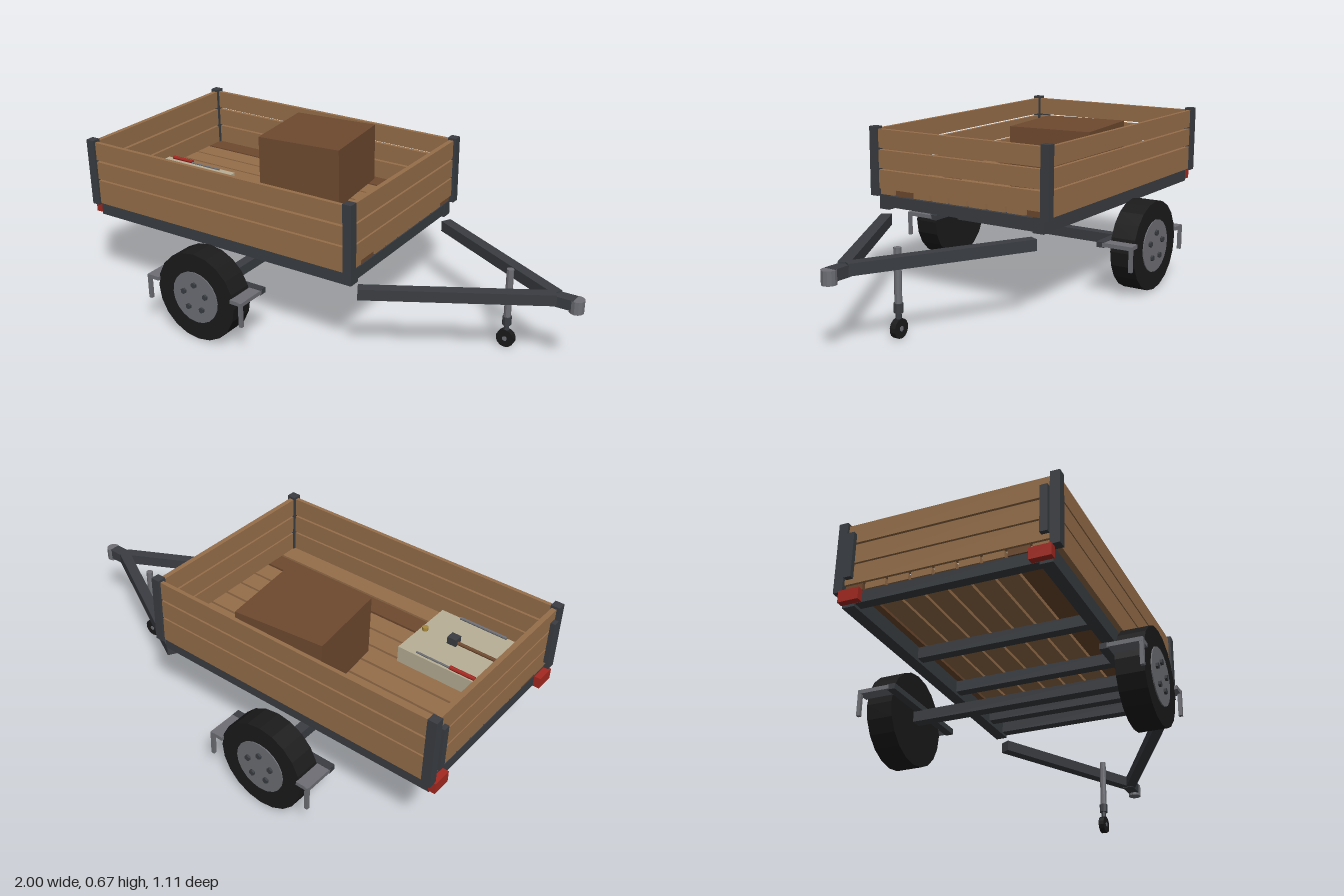
import * as THREE from 'three';

const material = (color) => new THREE.MeshStandardMaterial({ color, flatShading: true });
const M = {
  wood: material(0x976f4a), darkWood: material(0x6f4a2f), steel: material(0x3a3d42),
  grey: material(0x6e6f75), rubber: material(0x1b1b1b), red: material(0xa52820),
  carton: material(0x6f4a2f), cream: material(0xb8b096), brass: material(0xa8893c),
};

export function createModel() {
  const root = new THREE.Group();

  const add = (name, geometry, mat, x, y, z, parent = root) => {
    const mesh = new THREE.Mesh(geometry, mat);
    mesh.name = name;
    mesh.position.set(x, y, z);
    parent.add(mesh);
    return mesh;
  };
  // Box given by its [min, max] range on each axis
  const span = (name, mat, [x0, x1], [y0, y1], [z0, z1], parent = root) =>
    add(name, new THREE.BoxGeometry(x1 - x0, y1 - y0, z1 - z0), mat,
      (x0 + x1) / 2, (y0 + y1) / 2, (z0 + z1) / 2, parent);
  // Disc or rod whose axis lies along z
  const disc = (name, mat, r, width, sides, x, y, z, parent = root) =>
    add(name, new THREE.CylinderGeometry(r, r, width, sides).rotateX(Math.PI / 2), mat, x, y, z, parent);

  // Chassis: side rails and cross members
  for (const s of [-1, 1]) {
    const rail = add('sideRail', new THREE.BoxGeometry(1.225, 0.06, 0.047), M.steel, -0.36, 0.365, s * 0.364);
    rail.updateMatrix();
  }
  for (const x of [-0.95, -0.515, -0.205, 0.1, 0.23])
    add('crossMember', new THREE.BoxGeometry(0.04, 0.045, 0.68), M.steel, x, 0.368, 0);

  // Floor planks
  for (let i = 0; i < 9; i++)
    add('floorPlank', new THREE.BoxGeometry(1.22, 0.025, 0.0785),
      i === 0 || i === 7 ? M.darkWood : M.wood, -0.36, 0.4075, (i - 4) * 0.0885);

  // Wall planks on all four sides
  for (const [y0, y1] of [[0.42, 0.496], [0.503, 0.577], [0.585, 0.66]]) {
    for (const s of [-1, 1]) {
      const base = y0 === 0.42 ? 0.395 : y0;
      add('sidePlank', new THREE.BoxGeometry(1.2, y1 - base, 0.016), M.wood, -0.36, (base + y1) / 2, s * 0.4);
      add('endPlank', new THREE.BoxGeometry(0.02, y1 - y0, 0.785), M.wood,
        -0.36 + s * 0.61, (y0 + y1) / 2, 0);
    }
  }

  // Corner posts
  for (const x of [-0.973, 0.253])
    for (const s of [-1, 1])
      add('cornerPost', new THREE.BoxGeometry(0.036, 0.28, 0.036), M.steel, x, 0.53, s * 0.4);

  // Tailgate latches and tail lights
  for (const s of [-1, 1]) {
    add('tailgateLatch', new THREE.BoxGeometry(0.018, 0.18, 0.028), M.steel, -0.989, 0.53, s * 0.363);
    add('tailLight', new THREE.BoxGeometry(0.026, 0.045, 0.08), M.red, -0.985, 0.368, s * 0.352);
  }

  // Axle
  add('axle', new THREE.BoxGeometry(0.043, 0.043, 0.87), M.steel, -0.36, 0.188, 0);

  // Wheels and mudguard frames
  for (const s of [-1, 1]) {
    const wheel = new THREE.Group();
    wheel.name = 'wheel';
    wheel.position.set(-0.36, 0.184, s * 0.487);
    root.add(wheel);
    disc('tyre', M.rubber, 0.184, 0.104, 20, 0, 0, 0, wheel);
    disc('rim', M.grey, 0.108, 0.012, 20, 0, 0, s * 0.05, wheel);
    for (let i = 0; i < 5; i++) {
      const a = Math.PI * (0.1 + i * 0.4);
      disc('wheelNut', M.steel, 0.012, 0.012, 6, Math.cos(a) * 0.055, Math.sin(a) * 0.055, s * 0.059, wheel);
    }
    add('mudguardBar', new THREE.BoxGeometry(0.46, 0.022, 0.032), M.steel, -0.36, 0.219, s * 0.413);
    for (const e of [-1, 1]) {
      add('mudguardPlate', new THREE.BoxGeometry(0.055, 0.016, 0.127), M.grey, -0.36 + e * 0.203, 0.22, s * 0.487);
      add('mudguardLeg', new THREE.BoxGeometry(0.014, 0.103, 0.014), M.grey, -0.36 + e * 0.223, 0.176, s * 0.546);
    }
  }

  // A-frame drawbar
  const length = Math.hypot(0.635, 0.345);
  for (const s of [-1, 1]) {
    const bar = add('drawbar', new THREE.BoxGeometry(length, 0.044, 0.044), M.steel, 0.575, 0.297, s * 0.1775);
    bar.rotation.y = s * Math.atan2(0.345, 0.635);
  }

  // Coupling
  span('couplingBody', M.steel, [0.87, 0.965], [0.272, 0.314], [-0.024, 0.024]);
  add('couplingHead', new THREE.CylinderGeometry(0.028, 0.028, 0.052, 12), M.grey, 0.972, 0.287, 0);

  // Jockey wheel
  const jx = 0.683, jz = -0.055;
  add('jockeyTube', new THREE.CylinderGeometry(0.014, 0.014, 0.205, 10), M.grey, jx, 0.231, jz);
  add('jockeySleeve', new THREE.CylinderGeometry(0.018, 0.018, 0.035, 10), M.steel, jx, 0.113, jz);
  add('jockeyStem', new THREE.CylinderGeometry(0.011, 0.011, 0.035, 8), M.steel, jx, 0.082, jz);
  disc('jockeyWheel', M.rubber, 0.037, 0.024, 14, jx, 0.037, jz);
  disc('jockeyAxle', M.grey, 0.01, 0.028, 8, jx, 0.037, jz);

  // Carton, slightly turned
  const carton = add('carton', new THREE.BoxGeometry(0.366, 0.245, 0.344), M.carton, -0.267, 0.5425, -0.18);
  carton.rotation.y = 0.11;

  // Low case with tools lying on its lid
  span('toolCase', M.cream, [-0.905, -0.548], [0.42, 0.488], [0.03, 0.33]);
  const rod = (name, mat, r, x0, x1, z) =>
    add(name, new THREE.CylinderGeometry(r, r, x1 - x0, 8).rotateZ(Math.PI / 2), mat, (x0 + x1) / 2, 0.488 + r, z);
  rod('screwdriverHandle', M.red, 0.008, -0.87, -0.765, 0.04);
  rod('screwdriverBlade', M.grey, 0.004, -0.765, -0.62, 0.042);
  rod('steelRod', M.grey, 0.006, -0.835, -0.635, 0.322);
  rod('hammerHandle', M.darkWood, 0.007, -0.9, -0.71, 0.18);
  span('hammerHead', M.steel, [-0.712, -0.674], [0.488, 0.518], [0.162, 0.198]);
  add('knob', new THREE.CylinderGeometry(0.012, 0.012, 0.014, 10), M.brass, -0.567, 0.495, 0.18);

  return root;
}
